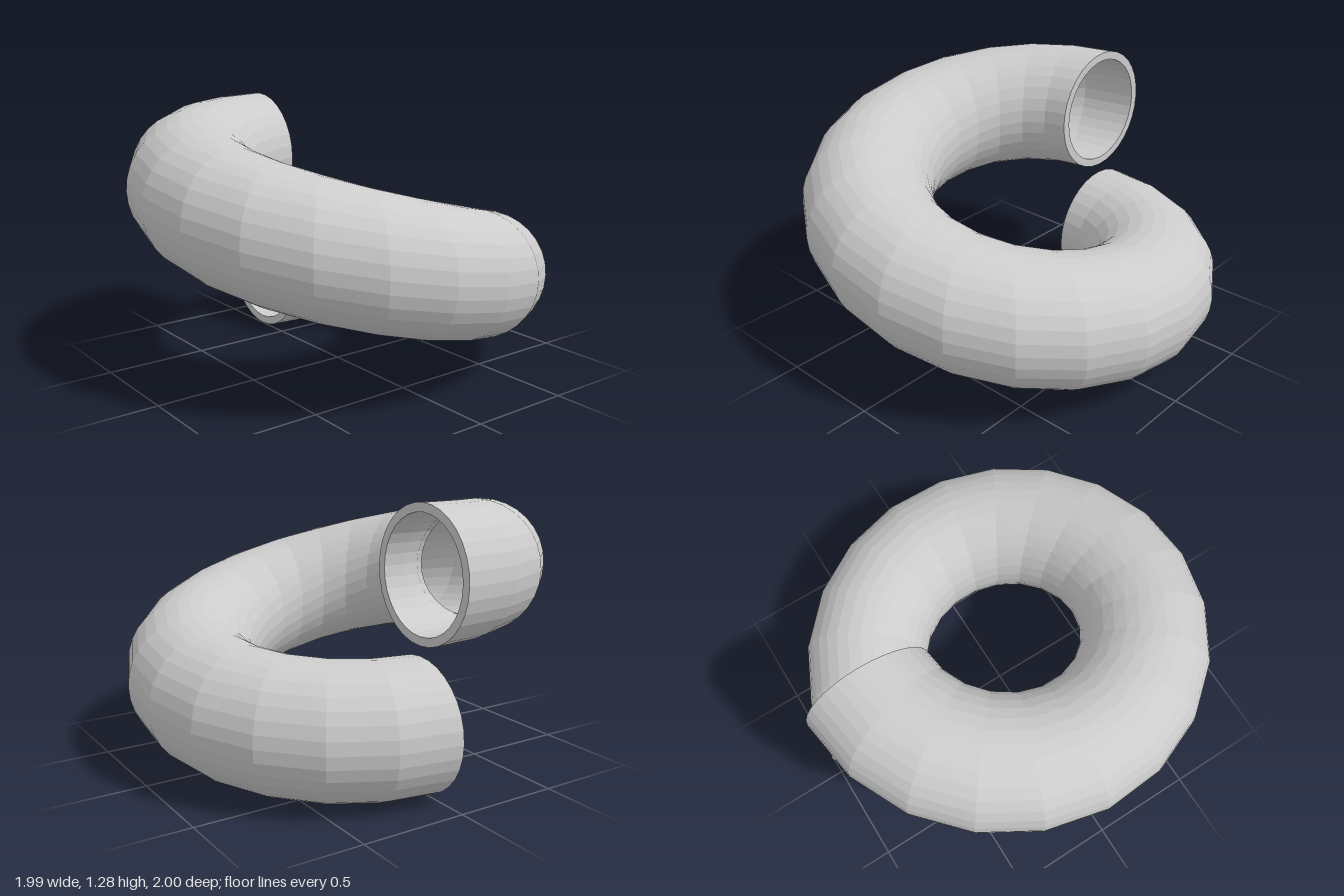
import * as THREE from 'three';

const PATH_RADIUS = 0.694, OUTER = 0.309, INNER = 0.268;
const STEPS = 21, SIDES = 32;

// Height gained along one turn: gentle at both ends, steepest in the middle
const rise = new THREE.SplineCurve(
  [0, 0.015, 0.068, 0.165, 0.295, 0.435, 0.552, 0.635, 0.662].map((y, i) => new THREE.Vector2(i / 8, y))
);

// One upright circular section of the pipe at step i of the turn
function section(i, radius) {
  const t = i / STEPS, a = t * Math.PI * 2;
  const y = OUTER + rise.getPoint(t).y;
  const ring = [];
  for (let j = 0; j < SIDES; j++) {
    const p = (j / SIDES) * Math.PI * 2;
    const d = PATH_RADIUS + radius * Math.cos(p);
    ring.push(0.005 - d * Math.cos(a), y + radius * Math.sin(p), -d * Math.sin(a));
  }
  return ring;
}

function coiledPipeGeometry() {
  // Outer wall forwards, inner wall backwards; the joins form the two rims
  const rings = [];
  for (let i = 0; i <= STEPS; i++) rings.push(section(i, OUTER));
  for (let i = STEPS; i >= 0; i--) rings.push(section(i, INNER));

  const index = [];
  for (let i = 0; i < rings.length; i++) {
    const n = (i + 1) % rings.length;
    for (let j = 0; j < SIDES; j++) {
      const k = (j + 1) % SIDES;
      const a = i * SIDES + j, b = i * SIDES + k, c = n * SIDES + k, d = n * SIDES + j;
      index.push(a, b, c, a, c, d);
    }
  }
  const geometry = new THREE.BufferGeometry();
  geometry.setAttribute('position', new THREE.Float32BufferAttribute(rings.flat(), 3));
  geometry.setIndex(index);
  const flat = geometry.toNonIndexed();
  flat.computeVertexNormals();
  return flat;
}

export function createModel() {
  const group = new THREE.Group();
  group.name = 'coil';
  const pipe = new THREE.Mesh(
    coiledPipeGeometry(),
    new THREE.MeshStandardMaterial({ color: 0xcccccc, flatShading: true })
  );
  pipe.name = 'coiledPipe';
  group.add(pipe);
  return group;
}
